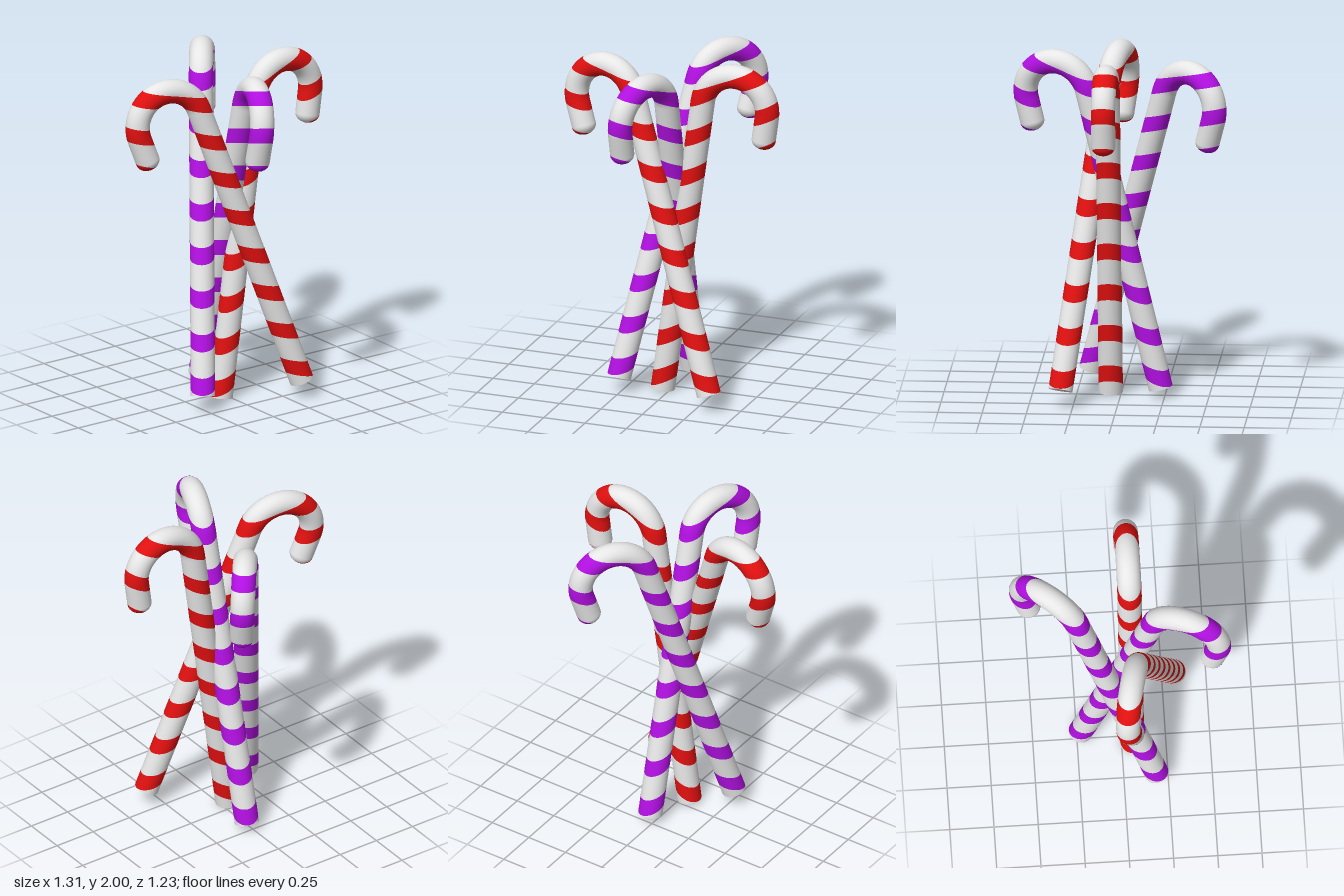
import * as THREE from 'three';

const RADIUS = 0.069, SHAFT = 1.77, HOOK = 0.195, END = 0.135, CAP = 0.055;
const SIDES = 36, SLOPE = 0.6, PERIOD = 0.246, PHASE = 0.092, STRIPE = 0.097;

// Rings along the cane: centre (x, y), hook angle, radius, and tilt of the normal towards the tip
function caneRings() {
  const rings = [{ x: 0, y: 0, phi: 0, r: RADIUS, q: 0 }];
  for (let i = 0; i <= 28; i++) {
    const phi = Math.PI * i / 28;
    rings.push({ x: HOOK * (1 - Math.cos(phi)), y: SHAFT + HOOK * Math.sin(phi), phi, r: RADIUS, q: 0 });
  }
  for (let i = 0; i <= 8; i++) {
    const q = Math.PI / 2 * i / 8;
    rings.push({ x: 2 * HOOK, y: SHAFT - END - CAP * Math.sin(q), phi: Math.PI, r: RADIUS * Math.cos(q), q });
  }
  return rings;
}

// One surface vertex as [x, y, z, nx, ny, nz]
function ringVertex(ring, j) {
  const a = 2 * Math.PI * j / SIDES;
  const N = new THREE.Vector3(Math.cos(ring.phi), -Math.sin(ring.phi), 0);
  const T = new THREE.Vector3(Math.sin(ring.phi), Math.cos(ring.phi), 0);
  const out = N.multiplyScalar(Math.cos(a));
  out.z += Math.sin(a);
  const n = out.clone().multiplyScalar(Math.cos(ring.q) / RADIUS)
    .addScaledVector(T, Math.sin(ring.q) / CAP).normalize();
  return [ring.x + out.x * ring.r, ring.y + out.y * ring.r, out.z * ring.r, n.x, n.y, n.z];
}

// Height measured across the slanted stripes
const level = v => v[1] - SLOPE * v[0];

// Keep the part of a polygon where sign * (level - limit) >= 0
function clip(poly, limit, sign) {
  const result = [];
  poly.forEach((a, i) => {
    const b = poly[(i + 1) % poly.length];
    const da = sign * (level(a) - limit), db = sign * (level(b) - limit);
    if (da >= 0) result.push(a);
    if ((da >= 0) !== (db >= 0)) {
      const t = da / (da - db);
      result.push(a.map((c, k) => c + (b[k] - c) * t));
    }
  });
  return result;
}

function toGeometry(polys) {
  const pos = [], nor = [];
  for (const p of polys) {
    for (let i = 1; i + 1 < p.length; i++) {
      for (const v of [p[0], p[i], p[i + 1]]) {
        pos.push(...v.slice(0, 3));
        nor.push(...v.slice(3));
      }
    }
  }
  const g = new THREE.BufferGeometry();
  g.setAttribute('position', new THREE.Float32BufferAttribute(pos, 3));
  g.setAttribute('normal', new THREE.Float32BufferAttribute(nor, 3));
  return g;
}

// Cut the cane's skin by slanted planes into plain bands and stripes
function caneGeometries() {
  const rings = caneRings(), plain = [], stripes = [];
  for (let i = 0; i + 1 < rings.length; i++) {
    for (let j = 0; j < SIDES; j++) {
      const quad = [ringVertex(rings[i], j), ringVertex(rings[i + 1], j),
        ringVertex(rings[i + 1], j + 1), ringVertex(rings[i], j + 1)];
      for (let n = -1; n < 10; n++) {
        const mid = PHASE + n * PERIOD, lo = mid - STRIPE / 2, hi = mid + STRIPE / 2;
        const rest = clip(quad, lo, 1);
        if (rest.length < 3) break;
        stripes.push(clip(rest, hi, -1));
        plain.push(clip(clip(rest, hi, 1), lo + PERIOD, -1));
      }
    }
  }
  return { plain: toGeometry(plain), stripes: toGeometry(stripes) };
}

export function createModel() {
  const white = new THREE.MeshStandardMaterial({ color: 0xe6e6e6 });
  const red = new THREE.MeshStandardMaterial({ color: 0xe01010 });
  const purple = new THREE.MeshStandardMaterial({ color: 0xb010e0 });
  white.name = 'white';
  red.name = 'red';
  purple.name = 'purple';

  const skin = caneGeometries();
  const base = new THREE.CircleGeometry(RADIUS, SIDES).rotateX(Math.PI / 2);

  // Foot position, lean of the shaft per unit of height, level direction of the hook
  const canes = [
    { name: 'leftRedCane', color: red, foot: [-0.045, 0.01, 0.06], lean: [0.138, 0], hook: [1, 0] },
    { name: 'rightRedCane', color: red, foot: [0.333, 0.1, 0.318], lean: [-0.33, -0.14], hook: [-0.975, -0.22] },
    { name: 'frontPurpleCane', color: purple, foot: [0.026, 0.05, -0.228], lean: [0, 0.242], hook: [-0.36, 0.93] },
    { name: 'backPurpleCane', color: purple, foot: [-0.262, 0.09, 0.185], lean: [0.183, -0.258], hook: [0.62, -0.785] },
  ];

  const model = new THREE.Group();
  model.name = 'candyCanes';
  for (const c of canes) {
    const up = new THREE.Vector3(c.lean[0], 1, c.lean[1]).normalize();
    const side = new THREE.Vector3(c.hook[0], 0, c.hook[1]);
    side.addScaledVector(up, -side.dot(up)).normalize();
    const cane = new THREE.Group();
    cane.name = c.name;
    cane.quaternion.setFromRotationMatrix(
      new THREE.Matrix4().makeBasis(side, up, side.clone().cross(up)));
    cane.position.set(...c.foot);
    for (const [name, geometry, material] of [
      ['body', skin.plain, white], ['stripes', skin.stripes, c.color], ['base', base, white]]) {
      const mesh = new THREE.Mesh(geometry, material);
      mesh.name = name;
      cane.add(mesh);
    }
    model.add(cane);
  }
  return model;
}
